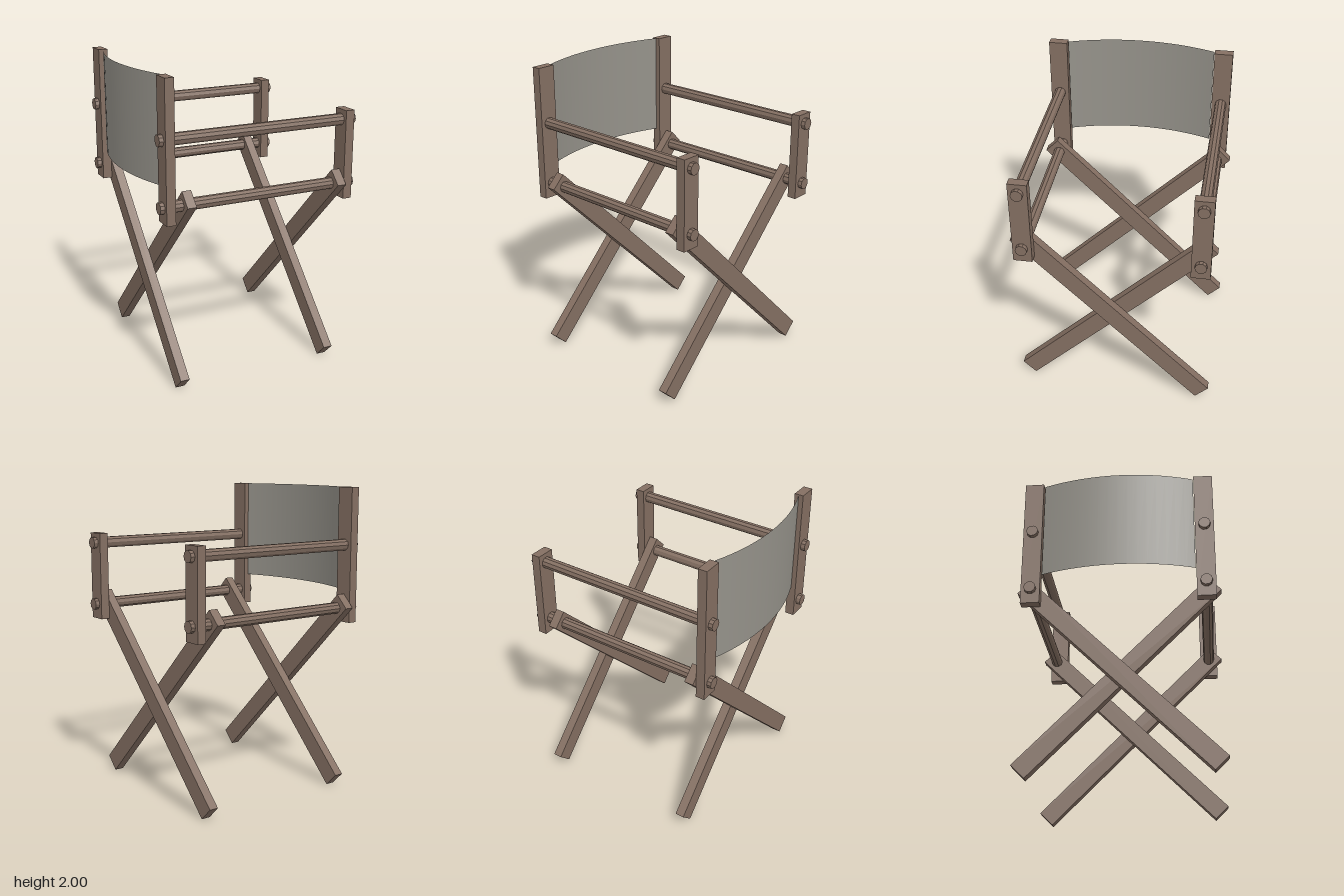
import * as THREE from 'three';

export function createModel() {
  const wood = new THREE.MeshStandardMaterial({ color: 0x846f62, flatShading: true });
  wood.name = 'wood';
  const canvas = new THREE.MeshStandardMaterial({ color: 0x95928a, side: THREE.DoubleSide });
  canvas.name = 'canvas';

  const model = new THREE.Group();
  model.name = 'foldingChair';
  const chair = new THREE.Group();
  chair.name = 'chairFrame';
  chair.rotation.y = THREE.MathUtils.degToRad(3); // chair stands slightly turned
  model.add(chair);

  const add = (name, geometry, material, x, y, z) => {
    const mesh = new THREE.Mesh(geometry, material);
    mesh.name = name;
    mesh.position.set(x, y, z);
    chair.add(mesh);
    return mesh;
  };

  const sideZ = 0.557, postX = 0.617, postBottom = 1.11;
  const post = (name, top, x, z) =>
    add(name, new THREE.BoxGeometry(0.06, top - postBottom, 0.122), wood, x, (top + postBottom) / 2, z);

  for (const s of [-1, 1]) {
    // Short arm posts and tall back posts
    post('armPost', 1.69, postX, s * sideZ);
    post('backPost', 2, -postX, s * sideZ);
    // Armrest rod and seat rod, running through the posts
    for (const [name, y] of [['armRod', 1.625], ['seatRod', 1.21]]) {
      const rod = new THREE.CylinderGeometry(0.038, 0.038, 1.35, 10).rotateZ(Math.PI / 2);
      add(name, rod, wood, 0, y, s * sideZ);
    }
    // Crossed legs, side by side
    for (const lean of [-1, 1]) {
      const leg = add('crossLeg', new THREE.BoxGeometry(0.06, 1.718, 0.12), wood,
        s * 0.525 + lean * 0.03, 0.65, 0);
      leg.rotation.x = lean * Math.PI / 4;
    }
  }

  // Curved canvas backrest: circular arc bulging to the rear
  const halfWidth = 0.492, sag = 0.09, bottom = 1.325, height = 0.675;
  const radius = (halfWidth ** 2 + sag ** 2) / (2 * sag);
  const angle = Math.asin(halfWidth / radius);
  const back = new THREE.CylinderGeometry(radius, radius, height, 16, 1, true,
    -Math.PI / 2 - angle, 2 * angle);
  add('canvasBackrest', back, canvas, radius - postX - sag, bottom + height / 2, 0);

  return model;
}
